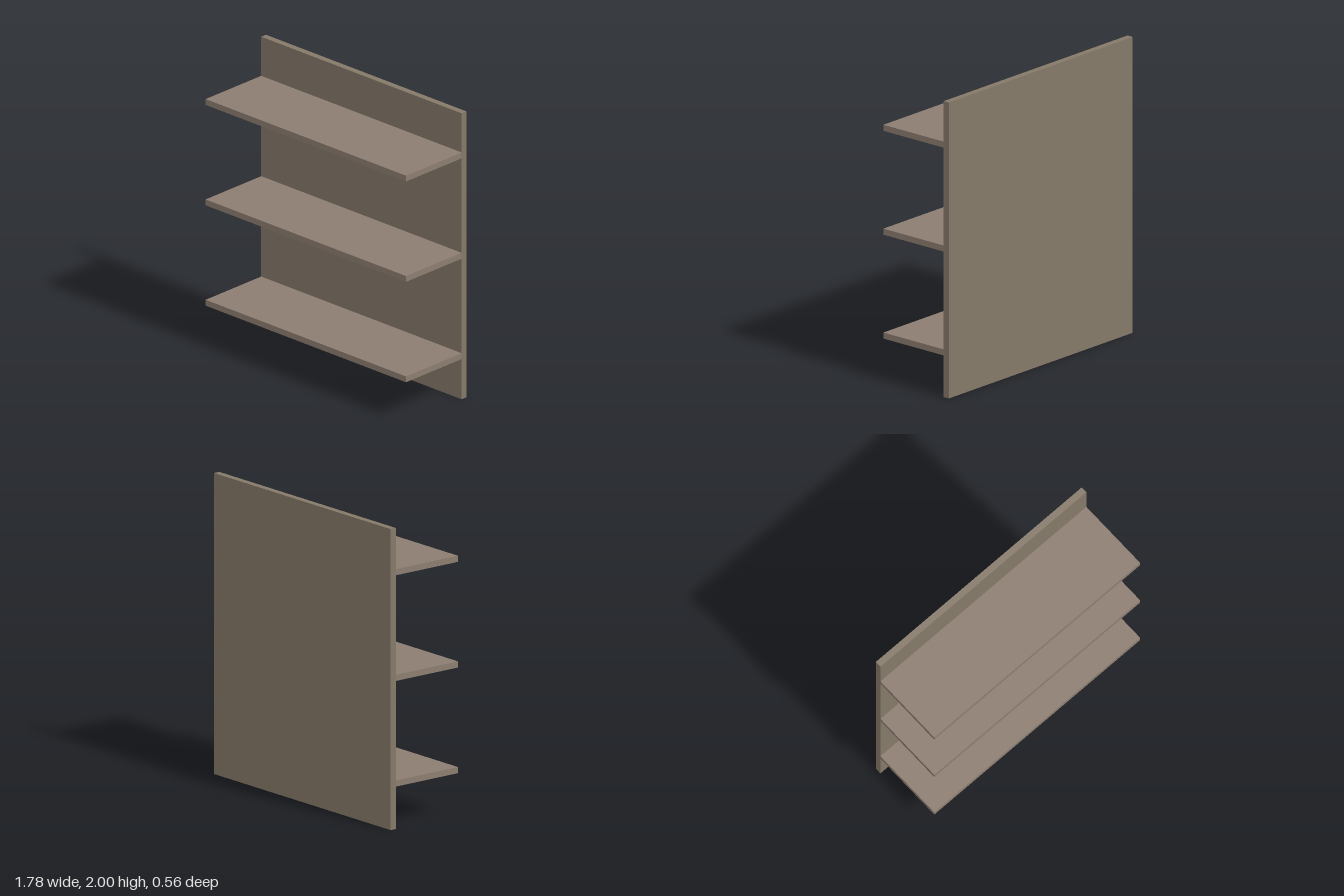
import * as THREE from 'three';

const WIDTH = 1.778;
const BACK = -0.28, PANEL_FRONT = -0.236, SHELF_FRONT = 0.28;
const SHELF_THICKNESS = 0.041;

// Box spanning the full width, given its y and z ranges
function board(name, y0, y1, z0, z1, material) {
  const mesh = new THREE.Mesh(new THREE.BoxGeometry(WIDTH, y1 - y0, z1 - z0), material);
  mesh.position.set(0, (y0 + y1) / 2, (z0 + z1) / 2);
  mesh.name = name;
  return mesh;
}

export function createModel() {
  const group = new THREE.Group();
  group.name = 'wallShelf';
  const panelMaterial = new THREE.MeshStandardMaterial({ color: 0x857969 });
  const shelfMaterial = new THREE.MeshStandardMaterial({ color: 0x8c7d70 });

  // Upright back panel
  group.add(board('backPanel', 0, 2, BACK, PANEL_FRONT, panelMaterial));

  // Three evenly spaced shelves, butted against the panel
  ['lowerShelf', 'middleShelf', 'upperShelf'].forEach((name, i) => {
    const y = 0.302 + i * 0.702;
    const half = SHELF_THICKNESS / 2;
    group.add(board(name, y - half, y + half, PANEL_FRONT, SHELF_FRONT, shelfMaterial));
  });

  return group;
}
